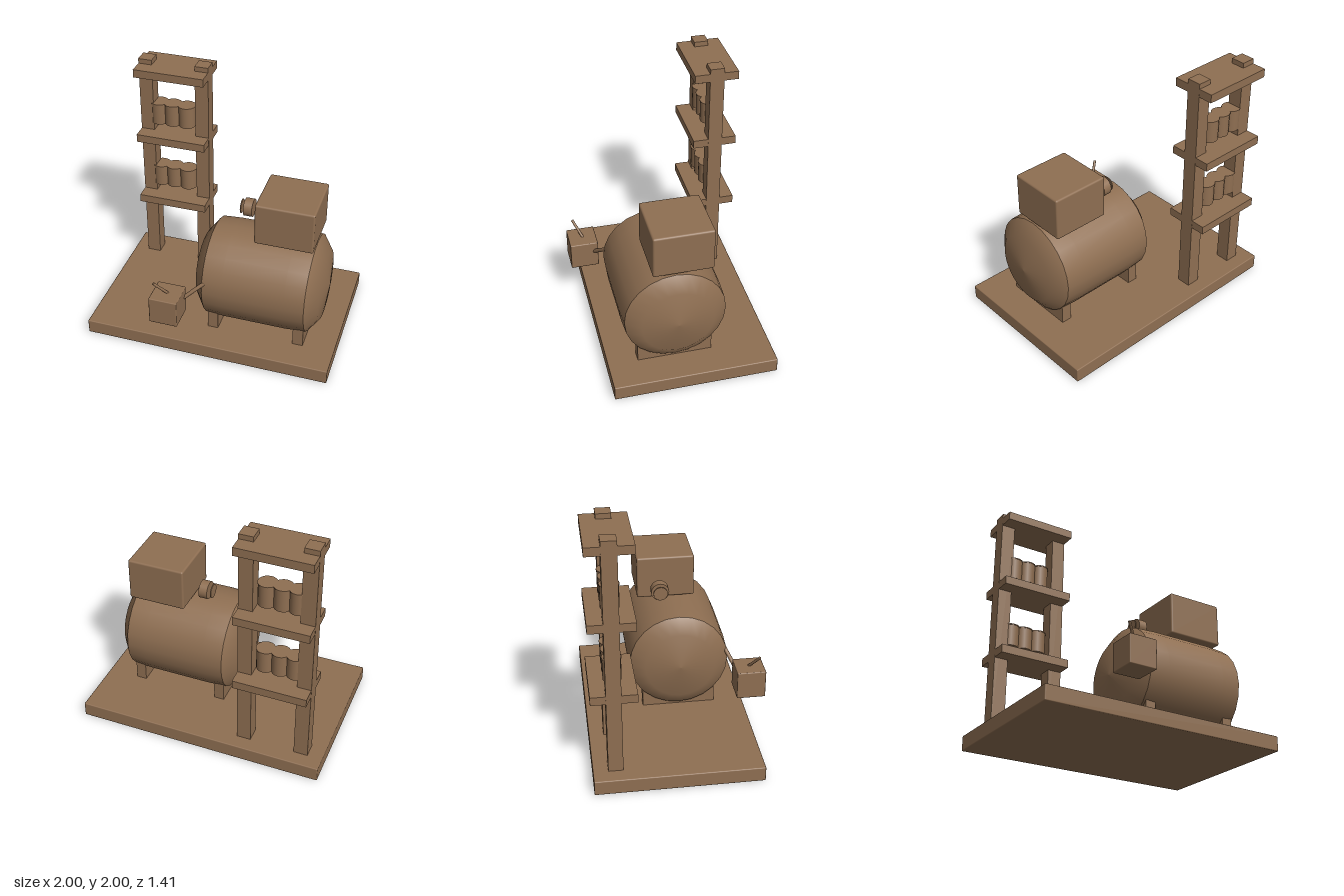
import * as THREE from 'three';
import { RoundedBoxGeometry } from 'three/addons/geometries/RoundedBoxGeometry.js';

export function createModel() {
  const model = new THREE.Group();
  model.name = 'distillery';
  const brown = new THREE.MeshStandardMaterial({ color: 0x8f6f52 });
  brown.name = 'wood brown';

  function add(name, geometry, x = 0, y = 0, z = 0) {
    const mesh = new THREE.Mesh(geometry, brown);
    mesh.name = name;
    mesh.position.set(x, y, z);
    model.add(mesh);
    return mesh;
  }

  // Box given by its extents, optionally with softened edges
  function box(name, [x0, x1], [y0, y1], [z0, z1], round = 0) {
    const size = [x1 - x0, y1 - y0, z1 - z0];
    const geometry = round ? new RoundedBoxGeometry(...size, 2, round) : new THREE.BoxGeometry(...size);
    return add(name, geometry, (x0 + x1) / 2, (y0 + y1) / 2, (z0 + z1) / 2);
  }

  // Round bar between two points
  function rod(name, from, to, radius) {
    const a = new THREE.Vector3(...from), b = new THREE.Vector3(...to);
    const dir = b.clone().sub(a);
    const mid = a.clone().add(b).multiplyScalar(0.5);
    const mesh = add(name, new THREE.CylinderGeometry(radius, radius, dir.length(), 12), mid.x, mid.y, mid.z);
    mesh.quaternion.setFromUnitVectors(new THREE.Vector3(0, 1, 0), dir.normalize());
  }

  // Surface of revolution along x; points are [x, radius]
  function turned(name, points, y, z) {
    const profile = points.map(([x, r]) => new THREE.Vector2(r, -x));
    const geometry = new THREE.LatheGeometry(profile.reverse(), 24).rotateZ(Math.PI / 2);
    return add(name, geometry, 0, y, z);
  }

  box('base', [-1, 1], [0, 0.12], [-0.705, 0.59], 0.008);

  // Rack: two posts, three shelves
  for (const x of [-0.825, -0.355]) box('rackPost', [x - 0.056, x + 0.056], [0.12, 2], [-0.59, -0.476]);
  for (const y of [0.715, 1.305, 1.893]) box('shelf', [-0.88, -0.3], [y, y + 0.067], [-0.705, -0.355]);

  // Jars with thin lids
  for (const y of [0.845, 1.435]) {
    for (const x of [-0.735, -0.618, -0.5]) {
      add('jar', new THREE.CylinderGeometry(0.07, 0.07, 0.175, 20), x, y + 0.0875, -0.53);
      add('jarLid', new THREE.CylinderGeometry(0.074, 0.074, 0.008, 20), x, y + 0.179, -0.53);
    }
  }

  // Tank lying along x, with shallow domed ends
  const tankY = 0.54, tankZ = 0.06;
  turned('tankBody', [[-0.06, 0.396], [0.1, 0.405], [0.6, 0.405], [0.76, 0.396]], tankY, tankZ);
  turned('tankRightEnd', [[-0.18, 0], [-0.145, 0.28], [-0.06, 0.396]], tankY, tankZ);
  turned('tankLeftEnd', [[0.76, 0.396], [0.845, 0.28], [0.88, 0]], tankY, tankZ);
  for (const x of [0, 0.705]) box('tankCradle', [x - 0.042, x + 0.042], [0.12, 0.3], [-0.235, 0.355]);

  // Housing and dial above the tank
  box('topHousing', [0.295, 0.762], [0.945, 1.295], [-0.234, 0.234], 0.015);
  add('dial', new THREE.CylinderGeometry(0.0725, 0.0725, 0.07, 24).rotateZ(Math.PI / 2), 0.175, 1.063, -0.063);
  add('dialFace', new THREE.CylinderGeometry(0.057, 0.057, 0.008, 24).rotateZ(Math.PI / 2), 0.114, 1.063, -0.063);

  // Collecting box with its lever and feed pipe
  box('collector', [-0.408, -0.18], [0.36, 0.59], [0.474, 0.702], 0.008);
  rod('lever', [-0.38, 0.705, 0.65], [-0.28, 0.57, 0.575], 0.011);
  rod('feedPipe', [-0.21, 0.485, 0.515], [-0.045, 0.62, 0.435], 0.016);

  return model;
}
